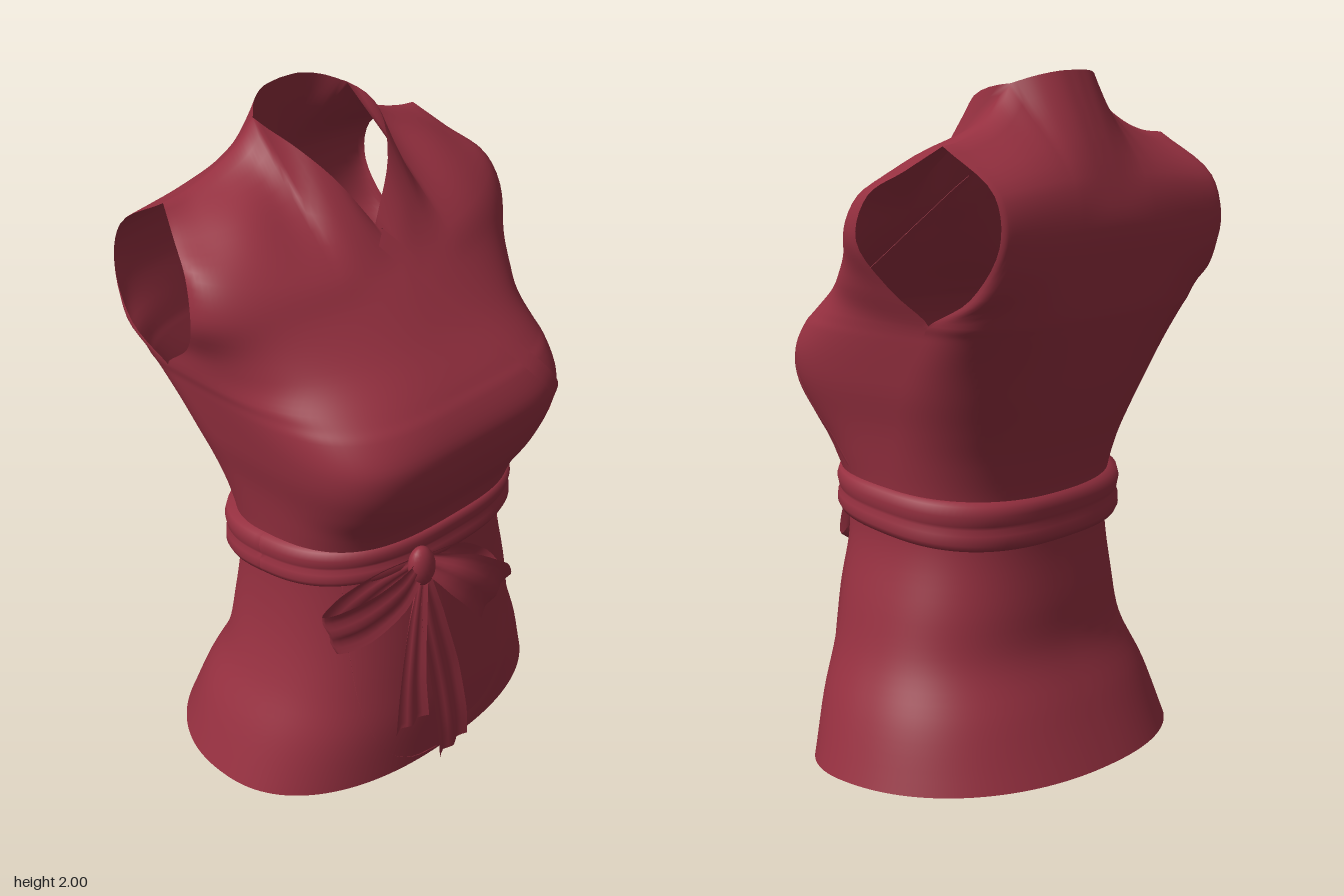
import * as THREE from 'three';
import { mergeGeometries, mergeVertices } from 'three/addons/utils/BufferGeometryUtils.js';

const V = (x, y, z) => new THREE.Vector3(x, y, z);
const N1 = 13, N2 = 27, N = N1 + N2; // neck columns, shoulder columns, columns per half panel

// Surface from rows of points (rows go up, columns go right as seen from outside)
function grid(rows) {
  const cols = rows[0].length, pos = [], idx = [];
  rows.forEach(r => r.forEach(p => pos.push(p.x, p.y, p.z)));
  for (let i = 0; i < rows.length - 1; i++) {
    for (let j = 0; j < cols - 1; j++) {
      const a = i * cols + j, b = a + 1, c = a + cols, d = c + 1;
      idx.push(a, b, d, a, d, c);
    }
  }
  const g = new THREE.BufferGeometry();
  g.setAttribute('position', new THREE.Float32BufferAttribute(pos, 3));
  g.setIndex(idx);
  g.computeVertexNormals();
  return g;
}

// Half of a body section, from the centre line to the side edge
function section(s, yE, xE, zE, yC, zC, n, count = N) {
  const pts = [];
  for (let i = 0; i <= 60; i++) {
    const t = i / 60 * Math.PI / 2;
    const k = i === 60 ? 1 : Math.sin(t) ** (2 / n);
    const c = i === 60 ? 0 : Math.cos(t) ** (2 / n);
    pts.push(V(s * xE * k, yC + (yE - yC) * k * k, zE + (zC - zE) * c));
  }
  return new THREE.CatmullRomCurve3(pts).getSpacedPoints(count);
}

// Joins the two mirrored halves of a row into one row from -x to +x
const fullRow = half => [...half(-1).reverse(), ...half(1).slice(1)];

// Sections below the armholes: y, half width, z of side seam, front z, back z, front and back roundness
const LOWER = [
  [0.03, 0.595, 0.0, 0.38, -0.47, 2.3, 2.2], [0.2, 0.535, 0.0, 0.385, -0.39, 2.4, 2.3],
  [0.35, 0.47, 0.02, 0.38, -0.32, 2.4, 2.3], [0.5, 0.43, 0.03, 0.375, -0.298, 2.4, 2.4],
  [0.67, 0.4, 0.03, 0.365, -0.275, 2.5, 2.4], [0.8, 0.402, 0.03, 0.362, -0.28, 2.6, 2.4],
  [0.92, 0.42, 0.01, 0.385, -0.31, 3.2, 2.4], [1.02, 0.44, -0.03, 0.437, -0.35, 3.9, 2.4],
  [1.12, 0.467, -0.07, 0.468, -0.387, 4.4, 2.5], [1.2, 0.484, -0.12, 0.472, -0.413, 4.4, 2.6],
  [1.28, 0.5, -0.18, 0.437, -0.438, 3.9, 2.8], [1.31, 0.506, -0.205, 0.413, -0.447, 3.6, 2.9],
  [1.34, 0.515, -0.23, 0.388, -0.455, 3.3, 3],
];
const lean = y => (y > 0.6 ? 0.012 : 0); // the waist and chest sit slightly to the right

// Sections beside the armholes: edge y, x, z, centre y, z, roundness
const FRONT = [[1.43, 0.541, -0.13, 1.43, 0.305, 2.5], [1.56, 0.588, -0.05, 1.54, 0.215, 1.9], [1.68, 0.573, -0.08, 1.62, 0.15, 1.9]];
const BACK = [[1.42, 0.513, -0.37, 1.45, -0.47, 3], [1.56, 0.495, -0.455, 1.58, -0.478, 3.3], [1.69, 0.485, -0.43, 1.72, -0.437, 3]];

// Neckline followed by the shoulder seam
function topEdge(s, front) {
  const neckX = s * 0.178 - 0.007;
  const neck = front
    ? [V(-0.03, 1.7, 0.08), V(s * 0.1 - 0.01, 1.835, 0.01), V(s * 0.165 - 0.01, 1.925, -0.08), V(s * 0.183 - 0.01, 1.955, -0.16), V(neckX, 1.965, -0.23)]
    : [V(0, 2, -0.32), V(s * 0.07, 1.997, -0.312), V(s * 0.13 - 0.003, 1.985, -0.28), V(neckX, 1.965, -0.23)];
  const shoulder = [V(neckX, 1.965, -0.23), V(s * 0.222, 1.905, -0.24), V(s * 0.3, 1.853, -0.25), V(s * 0.4, 1.82, -0.25), V(s * 0.48 - 0.014, 1.81, -0.25)];
  return [...new THREE.CatmullRomCurve3(neck).getSpacedPoints(N1),
    ...new THREE.CatmullRomCurve3(shoulder).getSpacedPoints(N2).slice(1)];
}

function panel(front) {
  const upper = front ? FRONT : BACK;
  const keys = [
    ...LOWER.map(([y, w, ze, zf, zb, nf, nb]) =>
      fullRow(s => section(s, y, w - s * lean(y), ze, y, front ? zf : zb, front ? nf : nb))),
    ...upper.map(([yE, xE, ...r]) => fullRow(s => section(s, yE, xE - s * (front ? 0 : 0.018), ...r))),
    fullRow(s => topEdge(s, front)),
  ];
  if (front) {
    // Fuller cloth over the front of each shoulder
    const top = keys.at(-1), below = keys.at(-2);
    keys.splice(-1, 0, top.map((p, j) => {
      const k = Math.max(0, Math.abs(j - N) - N1) / N2;
      const bulge = 0.025 * Math.sin(Math.PI * k) ** 2;
      return p.clone().lerp(below[j], 0.5).add(V(0, bulge, bulge));
    }));
  } else keys.forEach(r => r.reverse());
  // Smooth each column through the key sections
  const steps = (keys.length - 1) * 5;
  const columns = keys[0].map((_, j) => new THREE.CatmullRomCurve3(keys.map(r => r[j])).getPoints(steps));
  return grid(columns[0].map((_, i) => columns.map(c => c[i])));
}

// Cloth strip along a path; across = width direction, widths from start to end
function ribbon(points, across, widths, folds = 0.006) {
  const path = new THREE.CatmullRomCurve3(points).getPoints(28);
  const dir = across.clone().normalize();
  const rows = [];
  for (let j = 0; j <= 8; j++) {
    const k = j / 8 - 0.5;
    rows.push(path.map((p, i) => {
      const f = i / 28 * (widths.length - 1), a = Math.min(Math.floor(f), widths.length - 2);
      const w = THREE.MathUtils.lerp(widths[a], widths[a + 1], f - a);
      const q = p.clone().addScaledVector(dir, k * w);
      q.z += folds * Math.cos(k * 12);
      return q;
    }));
  }
  return grid(rows);
}

export function createModel() {
  const group = new THREE.Group();
  const cloth = new THREE.MeshStandardMaterial({ color: 0x963040, side: THREE.DoubleSide });
  cloth.name = 'wine red cloth';
  const add = (name, geo, parent = group) => {
    const m = new THREE.Mesh(geo, cloth);
    m.name = name;
    parent.add(m);
    return m;
  };

  // Bodice with armholes, collar and flared hem
  const body = mergeVertices(mergeGeometries([panel(true), panel(false)].map(g => g.deleteAttribute('normal'))), 1e-4);
  body.computeVertexNormals();
  const bodice = add('bodice', body);

  // Raised edges of the wrapped front: outer (s = 1) on the bodice, inner (s = -1) mirrored beneath it
  const ray = new THREE.Raycaster();
  const onFront = (x, y, lift) => {
    ray.set(V(x, y, 2), V(0, 0, -1));
    const hit = ray.intersectObject(bodice)[0];
    return V(x, y, (hit ? hit.point.z : 0.2) + lift);
  };
  const wrapEdge = (name, s, pts) => {
    const edge = new THREE.CatmullRomCurve3(pts.map(([x, y]) => V(x, y, 0)));
    const rows = [[], [], []];
    for (let i = 0; i <= 50; i++) {
      const p = edge.getPoint(i / 50), t = edge.getTangent(i / 50);
      rows[0].push(onFront(s * p.x, p.y, s * -0.002));
      rows[1].push(onFront(s * p.x, p.y, s * 0.008));
      rows[2].push(onFront(s * (p.x + t.y * 0.05), p.y - t.x * 0.05, s * 0.001));
    }
    add(name, grid(rows.map(r => r.reverse())));
  };
  const skirtEdge = [[0.34, 0.76], [0.335, 0.5], [0.32, 0.28], [0.26, 0.13], [0.17, 0.06], [0.06, 0.04]];
  wrapEdge('upperWrapEdge', 1, [[-0.02, 1.69], [0.1, 1.53], [0.25, 1.33], [0.36, 1.18], [0.39, 1.08], [0.385, 0.88]]);
  wrapEdge('lowerWrapEdge', 1, skirtEdge);
  wrapEdge('innerWrapEdge', -1, skirtEdge);

  // Waist sash with a lengthwise fold, lower at the back
  const profile = [[0, -0.01], [0.02, 0.014], [0.15, 0.022], [0.35, 0.021], [0.46, 0.013], [0.54, 0.018], [0.75, 0.023], [0.95, 0.016], [1, -0.01]];
  const sash = profile.map(([h, o]) => {
    const arc = z => fullRow(s => section(s, 0, 0.412 + o - s * 0.012, 0.03, 0, z, 2.6, 32));
    const loop = [...arc(0.362 + o), ...arc(-0.28 - o).reverse().slice(1)];
    return loop.map(p => {
      const low = 0.712 + 0.13 * p.z, high = 0.843 + 0.1 * p.z;
      return V(p.x, low + (high - low) * h - 0.012 * p.x, p.z);
    });
  });
  add('sash', grid(sash));

  // Bow: knot, two loops and two hanging tails
  const bow = new THREE.Group();
  bow.name = 'bow';
  group.add(bow);
  const knot = add('knot', new THREE.SphereGeometry(1, 20, 14), bow);
  knot.scale.set(0.045, 0.068, 0.033);
  knot.position.set(-0.165, 0.79, 0.4);
  knot.rotation.z = 0.2;
  add('rightLoop', ribbon(
    [V(-0.17, 0.8, 0.405), V(-0.27, 0.755, 0.42), V(-0.38, 0.68, 0.37), V(-0.435, 0.635, 0.295), V(-0.37, 0.67, 0.295), V(-0.27, 0.74, 0.335), V(-0.17, 0.79, 0.38)],
    V(-0.35, 1, 0), [0.06, 0.13, 0.17, 0.17, 0.16, 0.11, 0.06]), bow);
  add('leftLoop', ribbon(
    [V(-0.15, 0.8, 0.405), V(-0.05, 0.73, 0.455), V(0.06, 0.625, 0.465), V(0.12, 0.55, 0.43), V(0.07, 0.63, 0.385), V(-0.03, 0.73, 0.38), V(-0.15, 0.79, 0.385)],
    V(0.62, 0.45, 0), [0.06, 0.14, 0.18, 0.15, 0.17, 0.13, 0.06]), bow);
  add('rightTail', ribbon(
    [V(-0.17, 0.76, 0.405), V(-0.19, 0.6, 0.405), V(-0.215, 0.4, 0.415), V(-0.225, 0.255, 0.425)],
    V(-1, 0.02, 0), [0.04, 0.08, 0.11, 0.14], 0.008), bow);
  add('leftTail', ribbon(
    [V(-0.16, 0.76, 0.4), V(-0.12, 0.58, 0.4), V(-0.06, 0.34, 0.4), V(-0.02, 0.13, 0.4), V(0, 0.015, 0.39)],
    V(-1, -0.22, 0), [0.04, 0.09, 0.12, 0.13, 0.125], 0.008), bow);

  return group;
}
